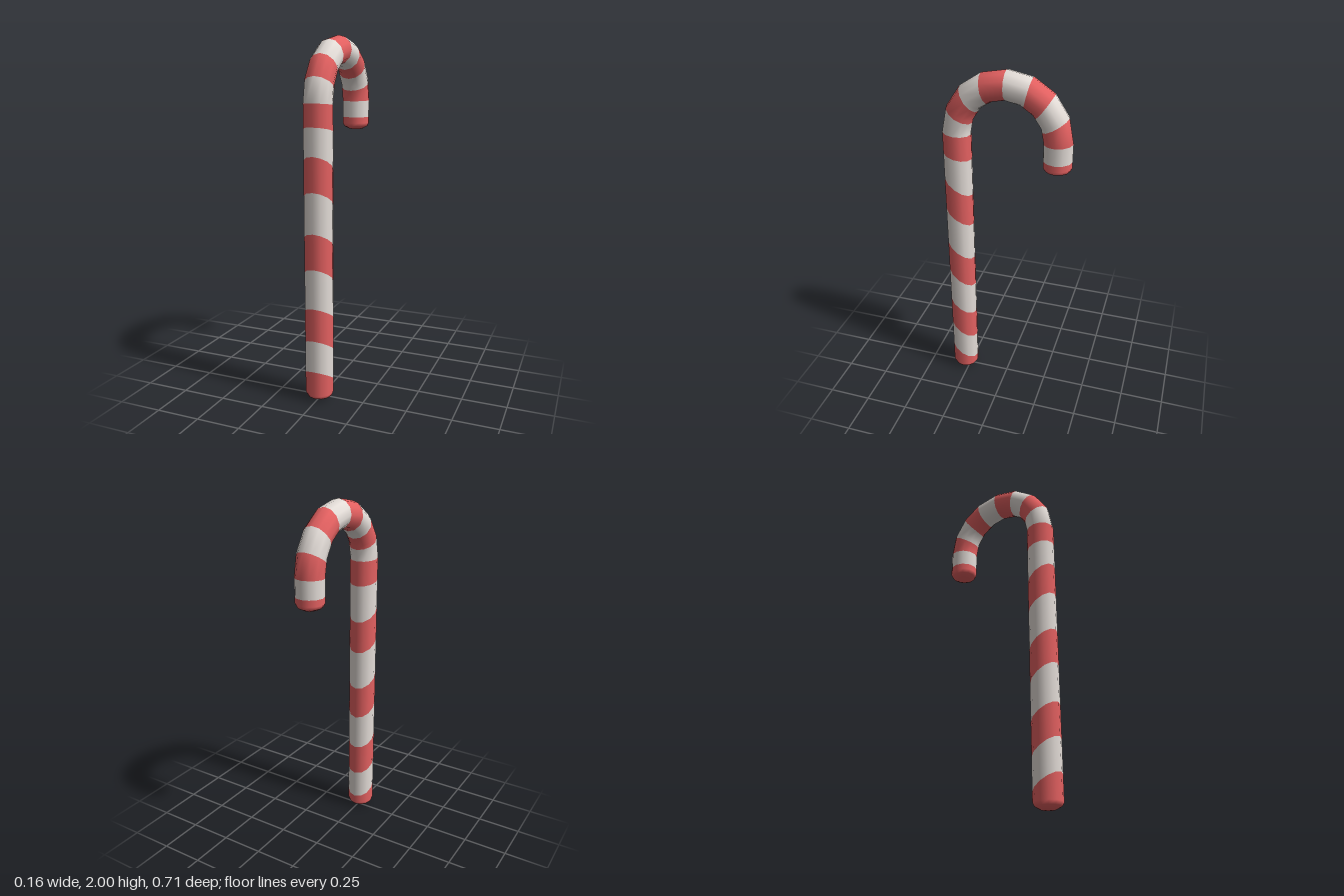
import * as THREE from 'three';

const SIDES = 12, R = 0.079, BEND = 0.277, TOP = 1.644, CAP = 0.04, TIP = 1.47;

// Cross-sections along the cane: bottom dome, shaft, eight-step hook, end dome.
function makeSections() {
  const sections = [];
  const dome = (z, poleY, theta, reversed) => {
    for (let i = 0; i < 4; i++) {
      const phi = ((reversed ? i : 3 - i) * Math.PI) / 6;
      sections.push({
        z, y: poleY + CAP * (1 - Math.sin(phi)), theta,
        r: R * Math.cos(phi), out: Math.cos(phi) * CAP, down: Math.sin(phi) * R,
      });
    }
  };
  dome(BEND, 0, 0, false);
  for (let k = 0; k <= 8; k++) {
    const theta = (k * Math.PI) / 8;
    sections.push({
      z: BEND * Math.cos(theta), y: TOP + BEND * Math.sin(theta), theta, r: R, out: 1, down: 0,
    });
  }
  dome(-BEND, TIP, Math.PI, true);
  return sections;
}

// Position and normal on one cross-section; a = 0 is the outer side of the bend.
function pointOn(s, a) {
  const x = Math.sin(a), c = Math.cos(a);
  const radial = new THREE.Vector3(x, c * Math.sin(s.theta), c * Math.cos(s.theta));
  return {
    p: new THREE.Vector3(0, s.y, s.z).addScaledVector(radial, s.r),
    n: radial.multiplyScalar(s.out).add(new THREE.Vector3(0, -s.down, 0)).normalize(),
  };
}

export function createModel() {
  const group = new THREE.Group();
  group.name = 'candyCane';
  const red = new THREE.MeshStandardMaterial({ color: 0xe46161 });
  red.name = 'red';
  const white = new THREE.MeshStandardMaterial({ color: 0xe4ddd8 });
  white.name = 'white';

  const sections = makeSections();
  const last = sections.length - 1;

  // Loops as [outer u, inner u, is a stripe edge]; u counts cross-sections.
  const loops = sections.map((_, i) => [i, i, i === 8]);
  // Slanted stripe edges on the shaft: height in front and behind
  const shaftEdges = [
    [0.183, 0.085], [0.363, 0.258], [0.547, 0.445], [0.768, 0.655],
    [0.963, 0.85], [1.185, 1.08], [1.373, 1.27], [1.523, 1.487], [TOP, 1.63],
  ];
  const shaftU = (y) => 3 + (y - CAP) / (TOP - CAP);
  for (const [front, back] of shaftEdges) loops.push([shaftU(front), shaftU(back), true]);
  // Stripe edges around the hook, mirrored about its crown
  for (const k of [1, 2, 3]) {
    loops.push([4 + k, 4 + k - 0.3, true]);
    loops.push([12 - k, 12 - k + 0.3, true]);
  }
  // Stripe edges on the short end
  loops.push([12, 12.05, true], [12.74, 12.74, true]);
  loops.sort((a, b) => a[0] + a[1] - b[0] - b[1]);

  const positions = [], normals = [];
  const faces = [[], []];
  let colour = 0;
  loops.forEach(([outer, inner, edge], row) => {
    for (let j = 0; j <= SIDES; j++) {
      const a = (j / SIDES) * Math.PI * 2;
      const u = THREE.MathUtils.lerp(outer, inner, (1 - Math.cos(a)) / 2);
      const i = Math.min(Math.floor(u + 1e-9), last - 1);
      const from = pointOn(sections[i], a), to = pointOn(sections[i + 1], a);
      positions.push(...from.p.lerp(to.p, u - i).toArray());
      normals.push(...from.n.lerp(to.n, u - i).normalize().toArray());
    }
    if (edge) colour = 1 - colour;
    if (row === loops.length - 1) return;
    for (let j = 0; j < SIDES; j++) {
      const p = row * (SIDES + 1) + j, q = p + SIDES + 1;
      faces[colour].push(p, p + 1, q + 1, p, q + 1, q);
    }
  });

  // One mesh per stripe colour on the shared surface
  const position = new THREE.Float32BufferAttribute(positions, 3);
  const normal = new THREE.Float32BufferAttribute(normals, 3);
  [['redStripes', red], ['whiteStripes', white]].forEach(([name, material], i) => {
    const geometry = new THREE.BufferGeometry();
    geometry.setAttribute('position', position);
    geometry.setAttribute('normal', normal);
    geometry.setIndex(faces[i]);
    const mesh = new THREE.Mesh(geometry, material);
    mesh.name = name;
    group.add(mesh);
  });
  return group;
}
